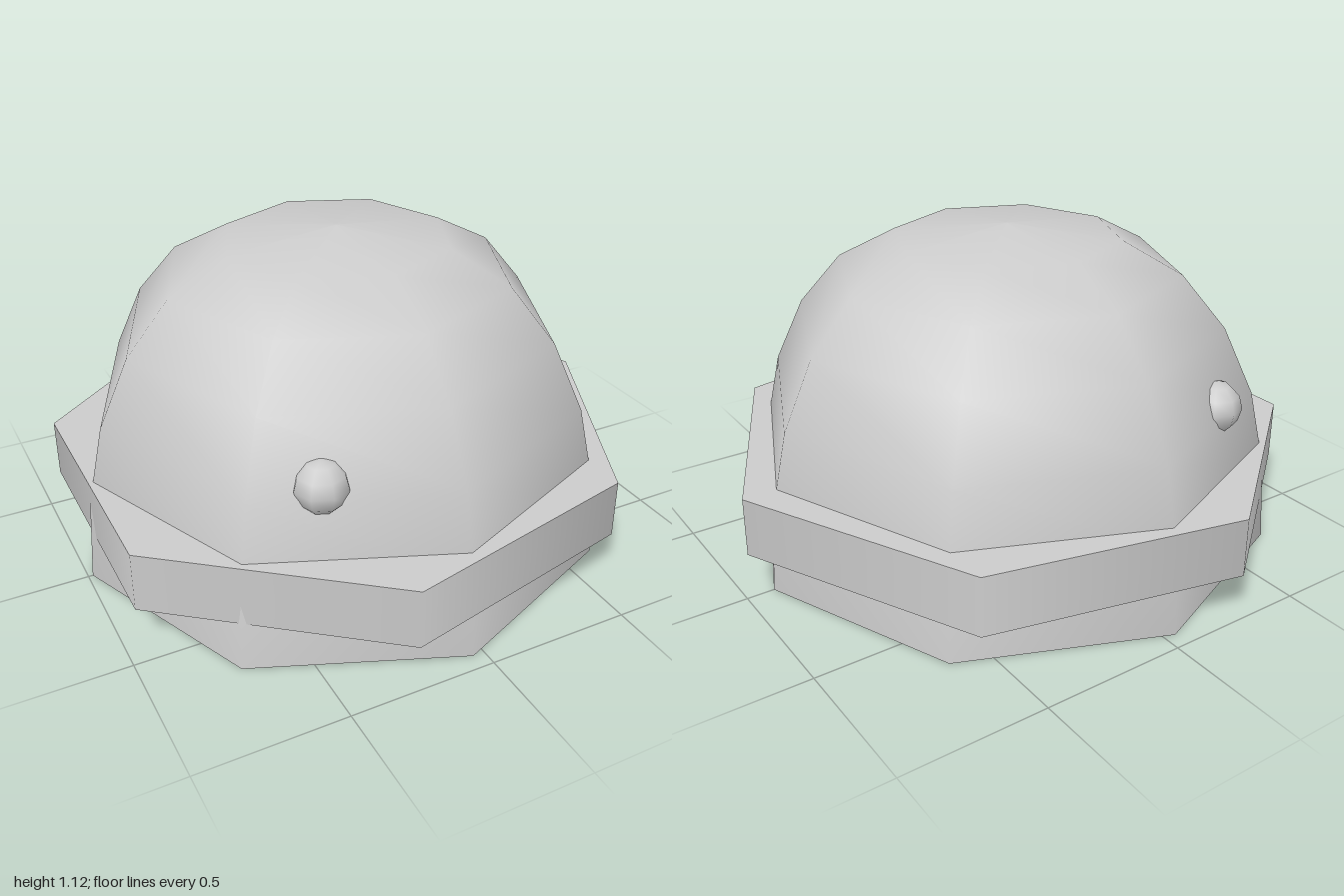
import * as THREE from 'three';

export function createModel() {
  const group = new THREE.Group();
  const grey = new THREE.MeshStandardMaterial({ color: 0xcccccc });
  grey.name = 'plain grey';
  const cx = -0.04; // shared axis of body and rim

  const add = (name, geometry, x, y, z) => {
    const mesh = new THREE.Mesh(geometry, grey);
    mesh.name = name;
    mesh.position.set(x, y, z);
    group.add(mesh);
    return mesh;
  };

  // Eight-sided dome, smooth shaded
  const profile = [
    [0.945, 0], [0.924, 0.29], [0.863, 0.56], [0.755, 0.79],
    [0.602, 0.97], [0.395, 1.08], [0, 1.12],
  ].map(([r, y]) => new THREE.Vector2(r, y));
  add('dome', new THREE.LatheGeometry(profile, 8), cx, 0, 0);

  // Flat underside closing the dome
  add('domeBottom', new THREE.CircleGeometry(0.945, 8).rotateX(Math.PI / 2), cx, 0, 0);

  // Seven-sided brim with one corner towards +x
  add('brim', new THREE.CylinderGeometry(1.024, 1.024, 0.206, 7, 1, false, Math.PI / 2), cx, 0.267, 0);

  // Pair of small eyes half sunk in the dome
  for (const side of [1, -1]) {
    add(side > 0 ? 'frontEye' : 'backEye', new THREE.SphereGeometry(0.09, 8, 6), -0.425, 0.585, side * 0.66);
  }
  return group;
}
